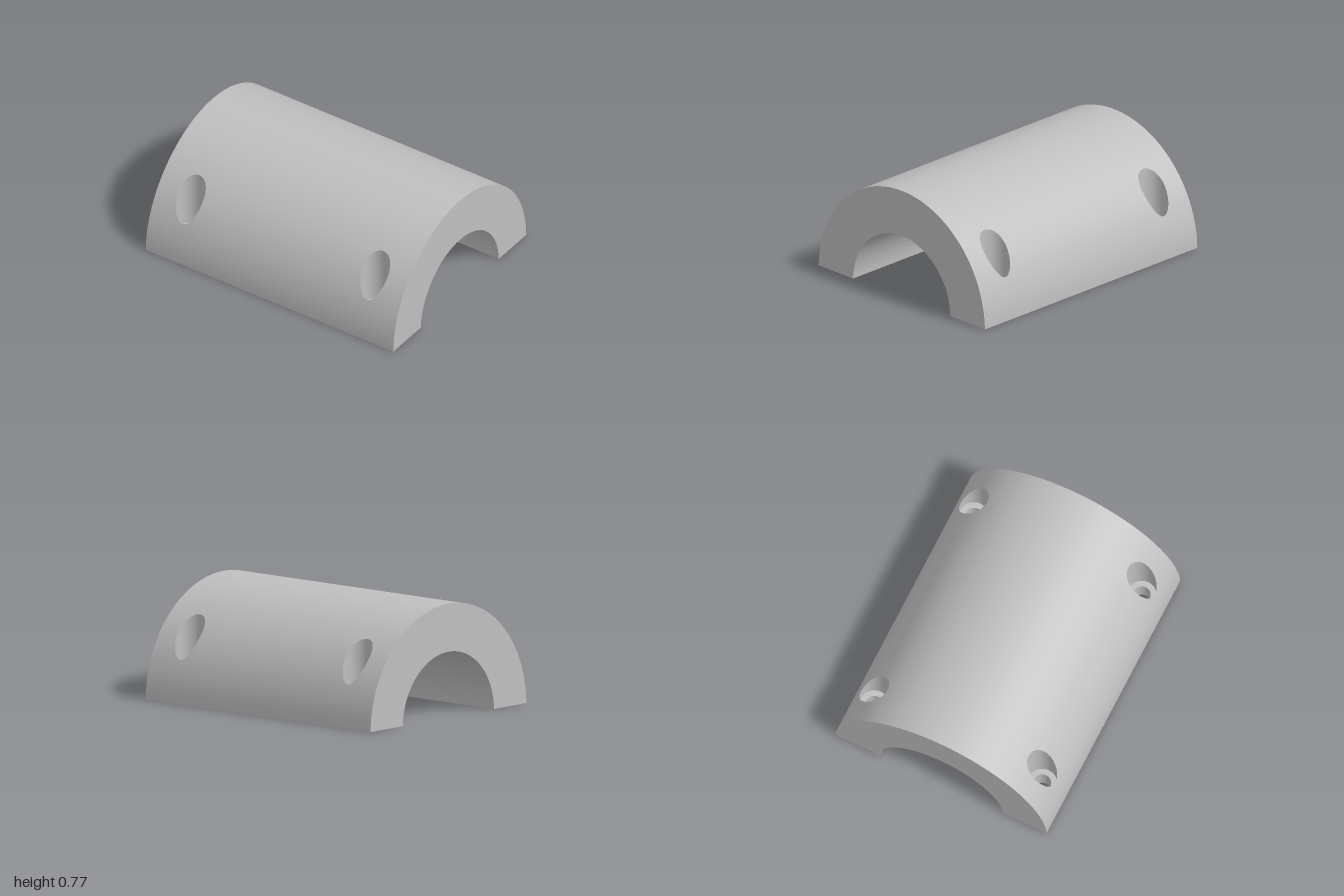
import * as THREE from 'three';
import { mergeVertices, mergeGeometries } from 'three/addons/utils/BufferGeometryUtils.js';

const R = 0.785, r = 0.46, DROP = 0.015;        // shell radii, axis lies just below the base
const HX = 0.745, HZ = 0.625;                   // bolt hole position
const BORE = 0.1, HOLE = 0.06, FLOOR = 0.16;    // counterbore, through hole, seat height
const PX = 0.15, TA = 0.25, TB = 0.98, N = 12;  // patch of the outer skin around each hole

// Grid of quads over u, v in 0..1, facing along du x dv
function surface(nu, nv, fn) {
  const pos = [];
  for (let i = 0; i < nu; i++) for (let j = 0; j < nv; j++) {
    const [a, b, c, d] = [[i, j], [i + 1, j], [i + 1, j + 1], [i, j + 1]].map(([u, v]) => fn(u / nu, v / nv));
    pos.push(...a, ...b, ...c, ...a, ...c, ...d);
  }
  const g = new THREE.BufferGeometry();
  g.setAttribute('position', new THREE.Float32BufferAttribute(pos, 3));
  return g;
}
function smooth(list) {
  const g = mergeVertices(mergeGeometries(list), 1e-4);
  g.computeVertexNormals();
  return g;
}
const lerp = THREE.MathUtils.lerp;
const onShell = (x, t, rad) => [x, rad * Math.sin(t) - DROP, rad * Math.cos(t)];

// Point on the patch border, and the matching direction on the round hole
function border(v) {
  const k = Math.round(v * 4 * N) % (4 * N), f = (k % N) * 2 / N - 1;
  const [sx, st] = [[1, f], [-f, 1], [-1, -f], [f, -1]][Math.floor(k / N)];
  return { sx, st, phi: Math.atan2(st, sx) };
}

// Front half of the outer skin, with openings for the two holes
function outerHalf() {
  const xs = [-1, -HX - PX, -HX + PX, HX - PX, HX + PX, 1];
  const ts = [Math.asin(DROP / R), TA, TB, Math.PI / 2];
  const steps = [6, N, 12], list = [];
  for (let i = 0; i < 5; i++) for (let j = 0; j < 3; j++) {
    if (j === 1 && i % 2 === 1) continue;
    list.push(surface(1, steps[j], (u, v) => onShell(lerp(xs[i], xs[i + 1], u), lerp(ts[j], ts[j + 1], v), R)));
  }
  for (const xc of [-HX, HX]) {
    list.push(surface(4, 4 * N, (u, v) => {
      const { sx, st, phi } = border(v);
      const rimT = Math.acos((HZ - BORE * Math.sin(phi)) / R);
      const x = lerp(xc + BORE * Math.cos(phi), xc + PX * sx, u);
      return onShell(x, lerp(rimT, (TA + TB) / 2 + st * (TB - TA) / 2, u), R);
    }));
  }
  return mergeGeometries(list);
}

// Inward-facing round wall; without a top it rises to the outer skin
function holeWall(xc, rad, bottom, top) {
  return smooth([surface(1, 4 * N, (u, v) => {
    const { phi } = border(v);
    const z = HZ - rad * Math.sin(phi);
    const y = top ?? Math.sqrt(R * R - z * z) - DROP;
    return [xc + rad * Math.cos(phi), lerp(bottom, y, u), z];
  })]);
}

export function createModel() {
  const model = new THREE.Group();
  model.name = 'halfClamp';
  const grey = new THREE.MeshStandardMaterial({ color: 0xbfbfbf });
  grey.name = 'grey';
  const add = (name, geometry, parent = model) => {
    const mesh = new THREE.Mesh(geometry, grey);
    mesh.name = name;
    parent.add(mesh);
    return mesh;
  };

  // Curved skins
  const half = outerHalf();
  add('outerShell', smooth([half, half.clone().rotateY(Math.PI)]));
  const t0 = Math.asin(DROP / R), t1 = Math.asin(DROP / r);
  add('innerShell', smooth([surface(64, 1, (u, v) => onShell(lerp(-1, 1, v), lerp(t1, Math.PI - t1, u), r))]));

  // Arched end faces
  const arch = new THREE.Shape();
  arch.absarc(0, -DROP, R, t0, Math.PI - t0, false);
  arch.absarc(0, -DROP, r, Math.PI - t1, t1, true);
  const endGeometry = new THREE.ShapeGeometry(arch, 64);
  for (const side of [-1, 1]) {
    const end = add(side > 0 ? 'leftEnd' : 'rightEnd', endGeometry);
    end.rotation.y = side * Math.PI / 2;
    end.position.x = side;
  }

  // Mating foot with two counterbored holes, repeated front and back
  const z0 = r * Math.cos(t1), z1 = R * Math.cos(t0);
  const foot = new THREE.Shape([[-1, z0], [1, z0], [1, z1], [-1, z1]].map(p => new THREE.Vector2(...p)));
  for (const xc of [-HX, HX]) foot.holes.push(new THREE.Path().absarc(xc, HZ, HOLE, 0, Math.PI * 2, true));
  const footGeometry = new THREE.ShapeGeometry(foot, 48).rotateX(Math.PI / 2);
  for (const back of [0, 1]) {
    const flange = new THREE.Group();
    flange.name = back ? 'backFlange' : 'frontFlange';
    flange.rotation.y = back * Math.PI;
    model.add(flange);
    add('matingFace', footGeometry, flange);
    for (const xc of [-HX, HX]) {
      add('counterboreWall', holeWall(xc, BORE, FLOOR), flange);
      add('boltHoleWall', holeWall(xc, HOLE, 0, FLOOR), flange);
      const seat = add('boltSeat', new THREE.RingGeometry(HOLE, BORE, 48).rotateX(-Math.PI / 2), flange);
      seat.position.set(xc, FLOOR, HZ);
    }
  }
  return model;
}
